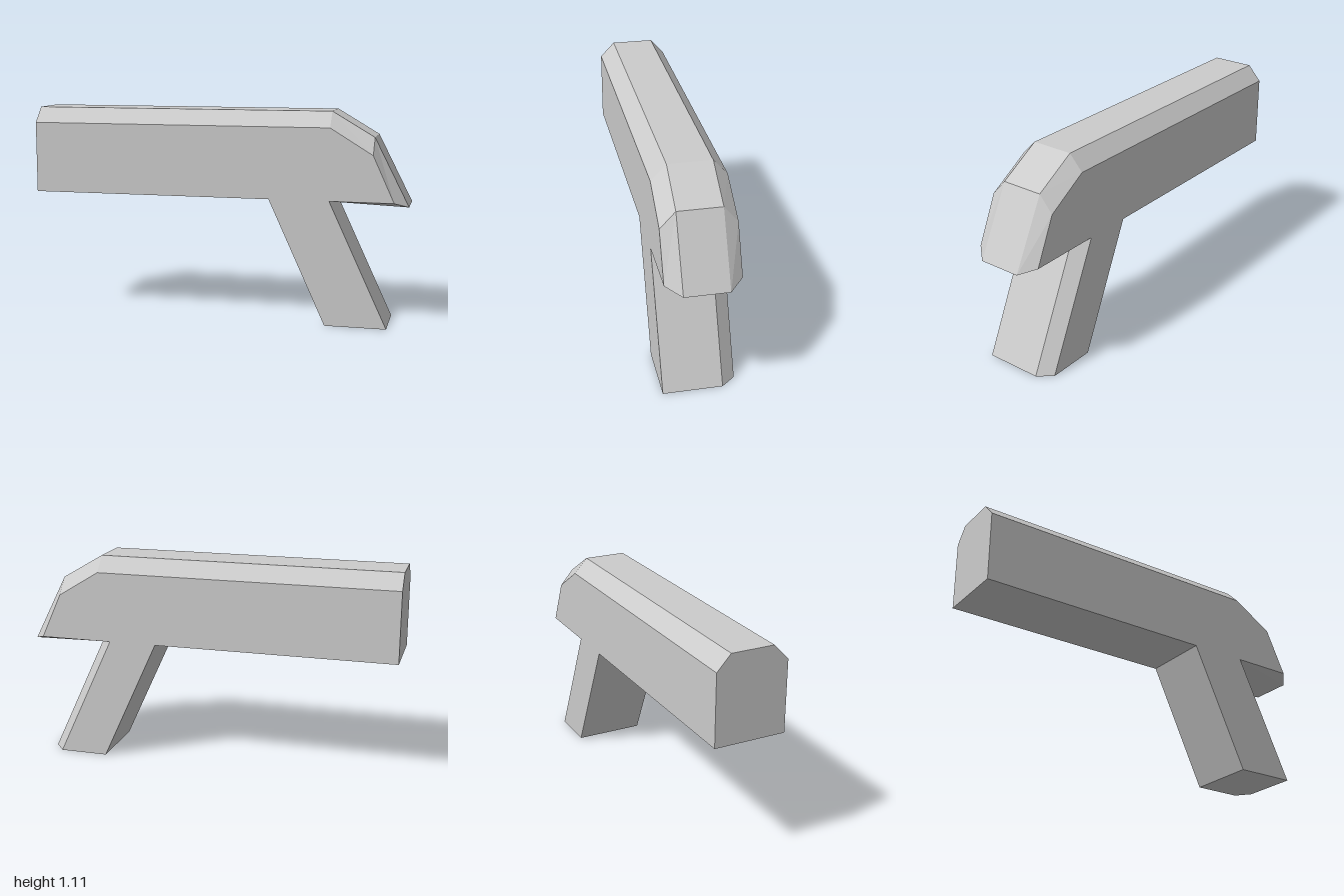
import * as THREE from 'three';

const Z = 0.1875;        // half width
const ZF = 0.11, ZB = -0.115; // front and back edges of the flat top
const BASE = 0.655;      // underside of the barrel

// Flat-shaded mesh from convex polygons, corners counter-clockwise from outside
function polyMesh(name, faces) {
  const pos = [];
  for (const f of faces) {
    for (let i = 1; i < f.length - 1; i++) {
      const tri = new THREE.Triangle(f[0], f[i], f[i + 1]);
      if (tri.getArea() < 1e-7) continue;
      for (const p of [tri.a, tri.b, tri.c]) pos.push(p.x, p.y, p.z);
    }
  }
  const geo = new THREE.BufferGeometry();
  geo.setAttribute('position', new THREE.Float32BufferAttribute(pos, 3));
  geo.computeVertexNormals();
  const mesh = new THREE.Mesh(geo, new THREE.MeshStandardMaterial({ color: 0xcccccc, flatShading: true }));
  mesh.name = name;
  return mesh;
}

const v = (x, y, z) => new THREE.Vector3(x, y, z);

// Quads joining two rings; keep(i) chooses which edges get a face
function band(a, b, keep = () => true) {
  const faces = [];
  a.forEach((p, i) => {
    const j = (i + 1) % a.length;
    if (keep(i)) faces.push([p, a[j], b[j], b[i]]);
  });
  return faces;
}

// Barrel cross-section with chamfered top edges
const barrelRing = (x, side, top) => [
  v(x, BASE, Z), v(x, BASE, -Z), v(x, side, -Z),
  v(x, top, ZB), v(x, top, ZF), v(x, side, Z),
];

// Slanted grip cross-section with one chamfered rear corner
const gripRing = (y, x0, x1) => [
  v(x0, y, Z), v(x1, y, Z), v(x1, y, ZB), v(x1 - 0.06, y, -Z), v(x0, y, -Z),
];

export function createModel() {
  const group = new THREE.Group();

  const gripTop = gripRing(BASE, 0.285, 0.6);
  const gripBottom = gripRing(0, 0.585, 0.905);

  // Barrel: rings along x, ending in a beak-like tip
  const tipF = v(0.93, BASE, Z), tipB = v(0.93, BASE, -Z);
  const beakF = v(1, 0.627, ZF), beakB = v(1, 0.627, ZB);
  const rings = [
    barrelRing(-1, 1.03, 1.11),
    barrelRing(0.285, 1.03, 1.11),
    barrelRing(0.6, 1.03, 1.11),
    barrelRing(0.82, 0.895, 0.98),
    [tipF, tipB, tipB, beakB, beakF, tipF],
  ];
  const faces = [[...rings[0]].reverse()];
  for (let k = 0; k < rings.length - 1; k++) {
    // the underside is only a plain strip ahead of the grip
    faces.push(...band(rings[k], rings[k + 1], (i) => i > 0 || k === 0));
  }
  // Underside of the tip, and the corner left open by the grip chamfer
  const [uF, uB] = rings[2];
  faces.push([uF, uB, beakB, beakF], [uF, beakF, tipF], [uB, tipB, beakB]);
  faces.push([gripTop[3], uB, gripTop[2]]);
  group.add(polyMesh('barrel', faces));

  // Grip
  group.add(polyMesh('grip', [...band(gripBottom, gripTop), [...gripBottom].reverse()]));

  return group;
}
